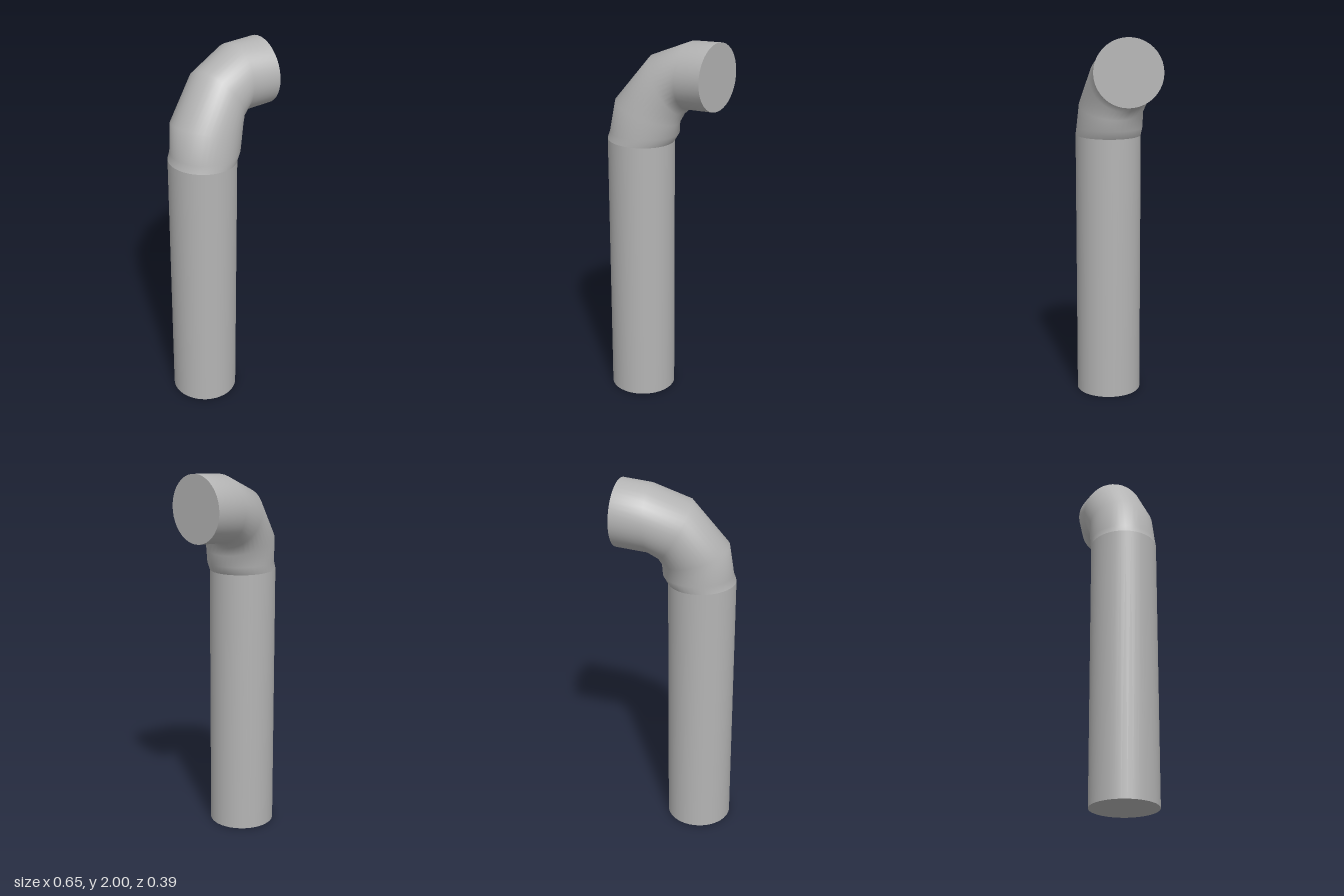
import * as THREE from 'three';

const SEGMENTS = 40;

// Cross-sections along the pipe: outer and inner point of the bend, then the back and front sides [x, z]
const SECTIONS = [
  { outer: [-0.325, 0], inner: [0.031, 0], back: [-0.147, -0.178], front: [-0.147, 0.178] },
  { outer: [-0.325, 1.465], inner: [0.031, 1.455], back: [-0.147, -0.178], front: [-0.147, 0.178] },
  { outer: [-0.311, 1.505], inner: [0.058, 1.5], back: [-0.127, -0.179], front: [-0.127, 0.178] },
  { outer: [-0.285, 1.67], inner: [0.063, 1.56], back: [-0.125, -0.184], front: [-0.1, 0.172] },
  { outer: [-0.095, 1.905], inner: [0.082, 1.605], back: [-0.005, -0.196], front: [-0.01, 0.147] },
  { outer: [0.12, 1.99], inner: [0.115, 1.638], back: [0.14, -0.197], front: [0.065, 0.149] },
  { outer: [0.273, 2.0], inner: [0.277, 1.648], back: [0.322, -0.145], front: [0.224, 0.197] },
];

// One elliptical ring of points from a cross-section
function ring({ outer, inner, back, front }) {
  const zc = (back[1] + front[1]) / 2;
  const xc = (outer[0] + inner[0]) / 2;
  const center = new THREE.Vector3(xc, (outer[1] + inner[1]) / 2, zc);
  const u = new THREE.Vector3(outer[0] - inner[0], outer[1] - inner[1], 0).multiplyScalar(0.5);
  const v = new THREE.Vector3(back[0] - front[0], 0, back[1] - front[1]).multiplyScalar(0.5);
  const points = [];
  for (let i = 0; i < SEGMENTS; i++) {
    const a = (i / SEGMENTS) * Math.PI * 2;
    points.push(center.clone().addScaledVector(u, Math.cos(a)).addScaledVector(v, Math.sin(a)));
  }
  return { center, points };
}

function buildGeometry(points, index) {
  const geometry = new THREE.BufferGeometry().setFromPoints(points);
  geometry.setIndex(index);
  geometry.computeVertexNormals();
  return geometry;
}

// Smooth skin joining consecutive rings
function skin(rings) {
  const index = [];
  for (let r = 0; r < rings.length - 1; r++) {
    for (let i = 0; i < SEGMENTS; i++) {
      const j = (i + 1) % SEGMENTS;
      const a = r * SEGMENTS + i, b = r * SEGMENTS + j;
      index.push(a, a + SEGMENTS, b, b, a + SEGMENTS, b + SEGMENTS);
    }
  }
  return buildGeometry(rings.flatMap((r) => r.points), index);
}

// Flat disc closing one ring
function cap({ center, points }, facesForward) {
  const index = [];
  for (let i = 0; i < SEGMENTS; i++) {
    const j = (i + 1) % SEGMENTS;
    index.push(SEGMENTS, facesForward ? j : i, facesForward ? i : j);
  }
  return buildGeometry([...points, center], index);
}

export function createModel() {
  const model = new THREE.Group();
  model.name = 'bentPipe';
  const grey = new THREE.MeshStandardMaterial({ color: 0xb4b4b4 });
  grey.name = 'grey';

  const rings = SECTIONS.map(ring);
  const add = (name, geometry) => {
    const mesh = new THREE.Mesh(geometry, grey);
    mesh.name = name;
    model.add(mesh);
  };

  add('column', skin(rings.slice(0, 2))); // straight upright
  add('elbow', skin(rings.slice(1))); // bend turning sideways and slightly forward
  add('baseCap', cap(rings[0], false));
  add('endCap', cap(rings[rings.length - 1], true));
  return model;
}
